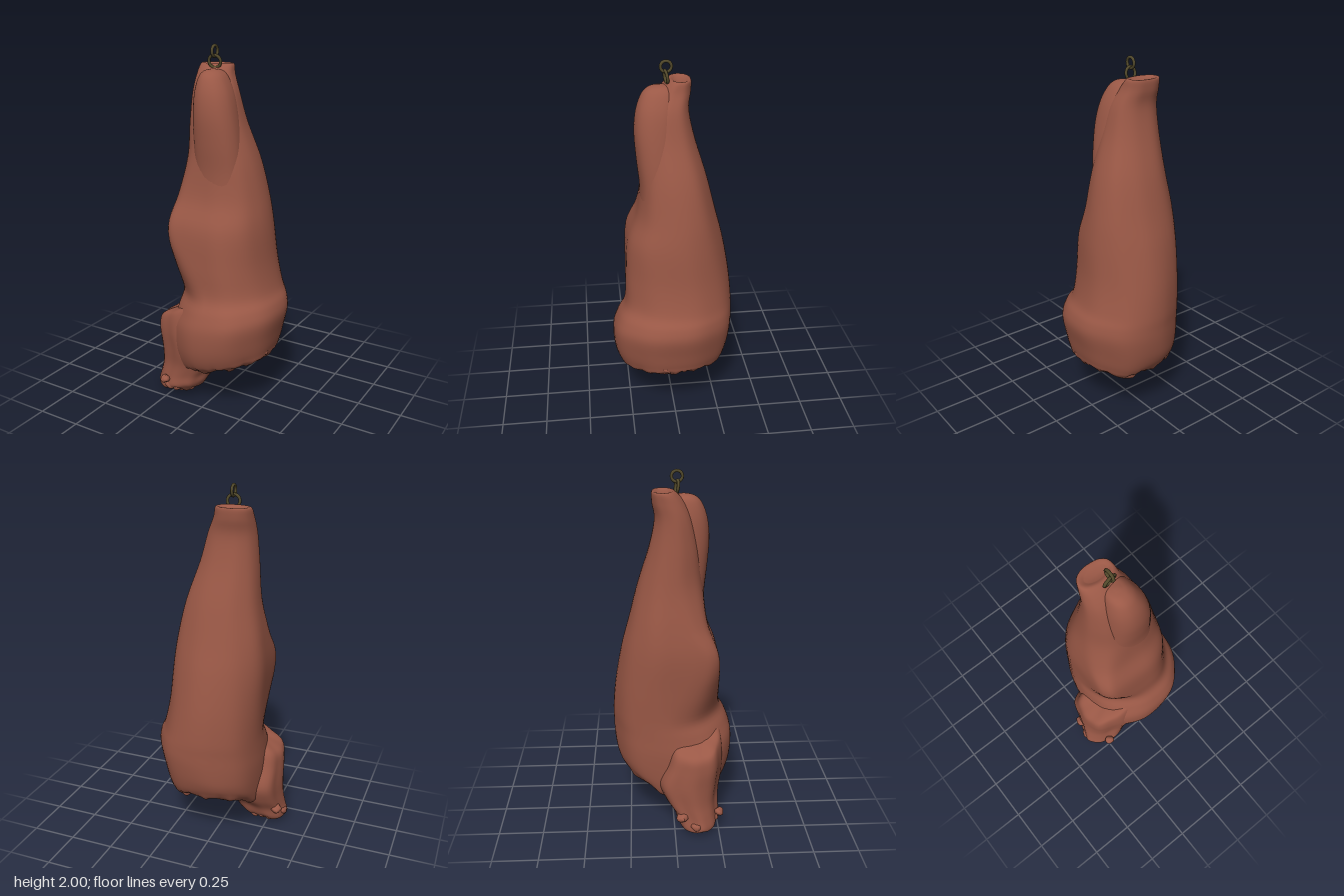
import * as THREE from 'three';

const SEG = 60, SUB = 5;

// Catmull-Rom blend of four numbers
function blend(a, b, c, d, t) {
  return 0.5 * (2 * b + (c - a) * t + (2 * a - 5 * b + 4 * c - d) * t * t + (3 * b - a - 3 * c + d) * t * t * t);
}

// Closed smooth loft, top to bottom. Section: [y, xMin, xMax, zMin, zMax, tilt, cornerPower]
// cornerPower squares off the quadrant towards -x, +z; warp may nudge each point.
function loft(sections, topDip, warp) {
  const rows = [];
  const n = sections.length;
  const at = (j) => sections[Math.min(n - 1, Math.max(0, j))];
  for (let i = 0; i < n - 1; i++) {
    for (let k = 0; k < SUB; k++) {
      rows.push(at(0).map((_, c) => blend(at(i - 1)[c], at(i)[c], at(i + 1)[c], at(i + 2)[c], k / SUB)));
    }
  }
  rows.push(sections[n - 1]);
  const pos = [], index = [], p = new THREE.Vector3();
  rows.forEach(([y, x0, x1, z0, z1, tilt, corner], r) => {
    const cx = (x0 + x1) / 2, cz = (z0 + z1) / 2;
    for (let j = 0; j < SEG; j++) {
      const a = (j / SEG) * Math.PI * 2, c = Math.cos(a), s = Math.sin(a);
      const e = 2 / (c < 0 && s > 0 ? corner : 2.2);
      p.x = cx + (x1 - x0) / 2 * Math.sign(c) * Math.abs(c) ** e;
      p.z = cz + (z1 - z0) / 2 * Math.sign(s) * Math.abs(s) ** e;
      p.y = y + tilt * p.x;
      warp(p, a, r / (rows.length - 1), cx, cz);
      pos.push(p.x, p.y, p.z);
    }
  });
  for (let i = 0; i < rows.length - 1; i++) {
    for (let j = 0; j < SEG; j++) {
      const k = (j + 1) % SEG, tr = i * SEG + j, tl = i * SEG + k;
      index.push(tl, tl + SEG, tr + SEG, tl, tr + SEG, tr);
    }
  }
  // end caps, centred on the average of the end row
  const cap = (start, dip, up) => {
    const c = pos.length / 3, mid = [0, 0, 0];
    for (let j = 0; j < SEG * 3; j++) mid[j % 3] += pos[start * 3 + j] / SEG;
    pos.push(mid[0], mid[1] + dip, mid[2]);
    for (let j = 0; j < SEG; j++) {
      const k = (j + 1) % SEG;
      index.push(c, start + (up ? k : j), start + (up ? j : k));
    }
  };
  cap(0, topDip, true);
  cap((rows.length - 1) * SEG, 0, false);
  const g = new THREE.BufferGeometry();
  g.setAttribute('position', new THREE.Float32BufferAttribute(pos, 3));
  g.setIndex(index);
  g.computeVertexNormals();
  return g;
}

// Soft folds running down the flesh
function folds(p, a, cx, cz, amount) {
  const f = 1 + amount * (Math.sin(5 * a + 3 * p.y) * 0.6 + Math.sin(9 * a - 4 * p.y) * 0.4);
  p.x = cx + (p.x - cx) * f;
  p.z = cz + (p.z - cz) * f;
}

// Lumpy height for torn surfaces
const lumps = (x, z) => 0.6 * Math.sin(29 * x + 17 * z) * Math.sin(31 * z - 13 * x + 1)
  + 0.5 * Math.sin(63 * x - 21 * z + 2) * Math.sin(54 * z + 37 * x);

export function createModel() {
  const model = new THREE.Group();
  const meat = new THREE.MeshStandardMaterial({ color: 0x9a5846 });
  meat.name = 'reddish brown meat';
  const metal = new THREE.MeshStandardMaterial({ color: 0x51482a });
  metal.name = 'dark brass';
  const add = (name, geometry, material, parent = model) => {
    const mesh = new THREE.Mesh(geometry, material);
    mesh.name = name;
    parent.add(mesh);
    return mesh;
  };

  // Main body, from the cut shank at the top to the ragged tilted base
  add('body', loft([
    [1.888, -0.13, -0.01, -0.085, -0.025, 0, 2.2],
    [1.895, -0.166, 0.02, -0.112, 0.005, 0, 2.2],
    [1.84, -0.175, 0.038, -0.112, 0.055, 0, 2.2],
    [1.75, -0.182, 0.08, -0.1, 0.1, 0, 2.2],
    [1.6, -0.193, 0.122, -0.13, 0.135, 0, 2.2],
    [1.4, -0.21, 0.19, -0.19, 0.158, 0, 2.4],
    [1.2, -0.242, 0.235, -0.24, 0.185, 0, 3.8],
    [1.04, -0.257, 0.26, -0.281, 0.243, 0, 6],
    [0.84, -0.25, 0.278, -0.318, 0.26, 0, 3],
    [0.68, -0.245, 0.308, -0.335, 0.268, 0.05, 1.75],
    [0.59, -0.25, 0.343, -0.337, 0.31, 0.1, 1.9],
    [0.5, -0.255, 0.356, -0.335, 0.337, 0.15, 2.25],
    [0.38, -0.25, 0.336, -0.322, 0.333, 0.2, 2.3],
    [0.285, -0.24, 0.318, -0.298, 0.308, 0.24, 2.2],
    [0.235, -0.22, 0.298, -0.26, 0.272, 0.27, 2],
    [0.22, -0.17, 0.2, -0.15, 0.18, 0.25, 2],
    [0.21, -0.12, 0.08, -0.05, 0.1, 0.25, 2],
  ], -0.01, (p, a, t, cx, cz) => {
    folds(p, a, cx, cz, 0.014);
    const low = THREE.MathUtils.smoothstep(t, 0.68, 0.86);
    p.y += low * 1.2 * Math.max(0, -p.z) * Math.max(0, 0.2 - p.x);
    p.y += 0.02 * THREE.MathUtils.smoothstep(t, 0.78, 0.9) * lumps(p.x, p.z);
  }), meat);

  // Rounded muscle on the upper front, fading into the body below
  add('frontMuscle', loft([
    [1.876, -0.05, -0.02, 0.04, 0.07, 0, 2.2],
    [1.865, -0.085, 0.012, -0.01, 0.112, 0, 2.2],
    [1.83, -0.105, 0.045, -0.03, 0.148, 0, 2.2],
    [1.75, -0.12, 0.084, -0.04, 0.178, 0, 2.2],
    [1.64, -0.125, 0.112, -0.04, 0.19, 0, 2.2],
    [1.5, -0.128, 0.135, -0.04, 0.182, 0, 2.2],
    [1.35, -0.13, 0.15, -0.04, 0.168, 0, 2.2],
    [1.2, -0.13, 0.16, -0.04, 0.168, 0, 2.2],
    [1.05, -0.1, 0.12, 0.0, 0.16, 0, 2.2],
  ], 0.002, (p, a, t, cx, cz) => folds(p, a, cx, cz, 0.006)), meat);

  // Knuckle funnelling down from the base at the lower right corner
  add('knuckle', loft([
    [0.635, -0.2, -0.02, 0.06, 0.18, 0.45, 2.2],
    [0.635, -0.28, 0.04, 0.0, 0.24, 0.45, 2.2],
    [0.585, -0.325, 0.08, -0.035, 0.265, 0.35, 2.1],
    [0.45, -0.335, 0.1, -0.065, 0.275, 0.15, 2.1],
    [0.33, -0.335, 0.13, -0.11, 0.27, 0.12, 2.1],
    [0.24, -0.335, 0.07, -0.07, 0.25, 0.15, 2.1],
    [0.17, -0.343, -0.01, -0.01, 0.245, 0.18, 2],
    [0.115, -0.352, -0.05, 0.015, 0.248, 0.2, 2],
    [0.075, -0.335, -0.09, 0.045, 0.225, 0.15, 2],
    [0.048, -0.29, -0.14, 0.08, 0.19, 0.1, 2],
    [0.038, -0.25, -0.19, 0.12, 0.16, 0.1, 2],
  ], 0, (p, a, t, cx, cz) => {
    folds(p, a, cx, cz, 0.045);
    p.y += 0.012 * THREE.MathUtils.smoothstep(t, 0.55, 0.8) * lumps(p.x, p.z);
  }), meat);

  // Torn scraps along the base rim and under the knuckle
  const scraps = new THREE.Group();
  scraps.name = 'tornScraps';
  model.add(scraps);
  let seed = 7;
  const rand = () => (seed = (seed * 16807) % 2147483647) / 2147483647;
  const scrap = (x, y, z, r) => {
    const g = new THREE.SphereGeometry(r, 14, 10);
    const pos = g.attributes.position;
    const phase = rand() * 6;
    for (let i = 0; i < pos.count; i++) {
      const f = 1 + 0.18 * Math.sin(pos.getX(i) / r * 3 + phase) * Math.cos(pos.getZ(i) / r * 3 + pos.getY(i) / r * 2);
      pos.setXYZ(i, pos.getX(i) * f, pos.getY(i) * f * 0.75, pos.getZ(i) * f);
    }
    g.computeVertexNormals();
    const m = add('scrap', g, meat, scraps);
    m.position.set(x, y, z);
    m.rotation.y = rand() * 6;
  };
  for (let i = 0; i < 20; i++) {
    const a = -1.1 + (i / 19) * 2.4;
    const x = 0.025 + 0.255 * Math.cos(a);
    scrap(x, 0.262 + 0.22 * x + rand() * 0.03, 0.01 + 0.25 * Math.sin(a), 0.024 + rand() * 0.018);
  }
  for (let i = 0; i < 14; i++) {
    const a = (i / 14) * Math.PI * 2;
    const x = -0.21 + 0.095 * Math.cos(a);
    scrap(x, 0.095 + 0.2 * x + rand() * 0.025, 0.14 + 0.075 * Math.sin(a), 0.026 + rand() * 0.014);
  }
  scrap(-0.25, 0.11, 0.25, 0.028);
  scrap(-0.03, 0.15, 0.02, 0.034);
  scrap(-0.33, 0.07, 0.12, 0.032);
  scrap(-0.315, 0.12, 0.04, 0.032);
  scrap(-0.2, 0.026, 0.14, 0.034);

  // Two interlocked hanging rings
  const rings = new THREE.Group();
  rings.name = 'hangingRings';
  model.add(rings);
  const lower = add('lowerRing', new THREE.TorusGeometry(0.033, 0.008, 10, 28), metal, rings);
  lower.position.set(-0.048, 1.911, 0.018);
  lower.rotation.set(0.15, 0.15, 0);
  const upper = add('upperRing', new THREE.TorusGeometry(0.028, 0.008, 10, 28), metal, rings);
  upper.position.set(-0.048, 1.964, 0.018);
  upper.rotation.y = Math.PI / 2;

  return model;
}
